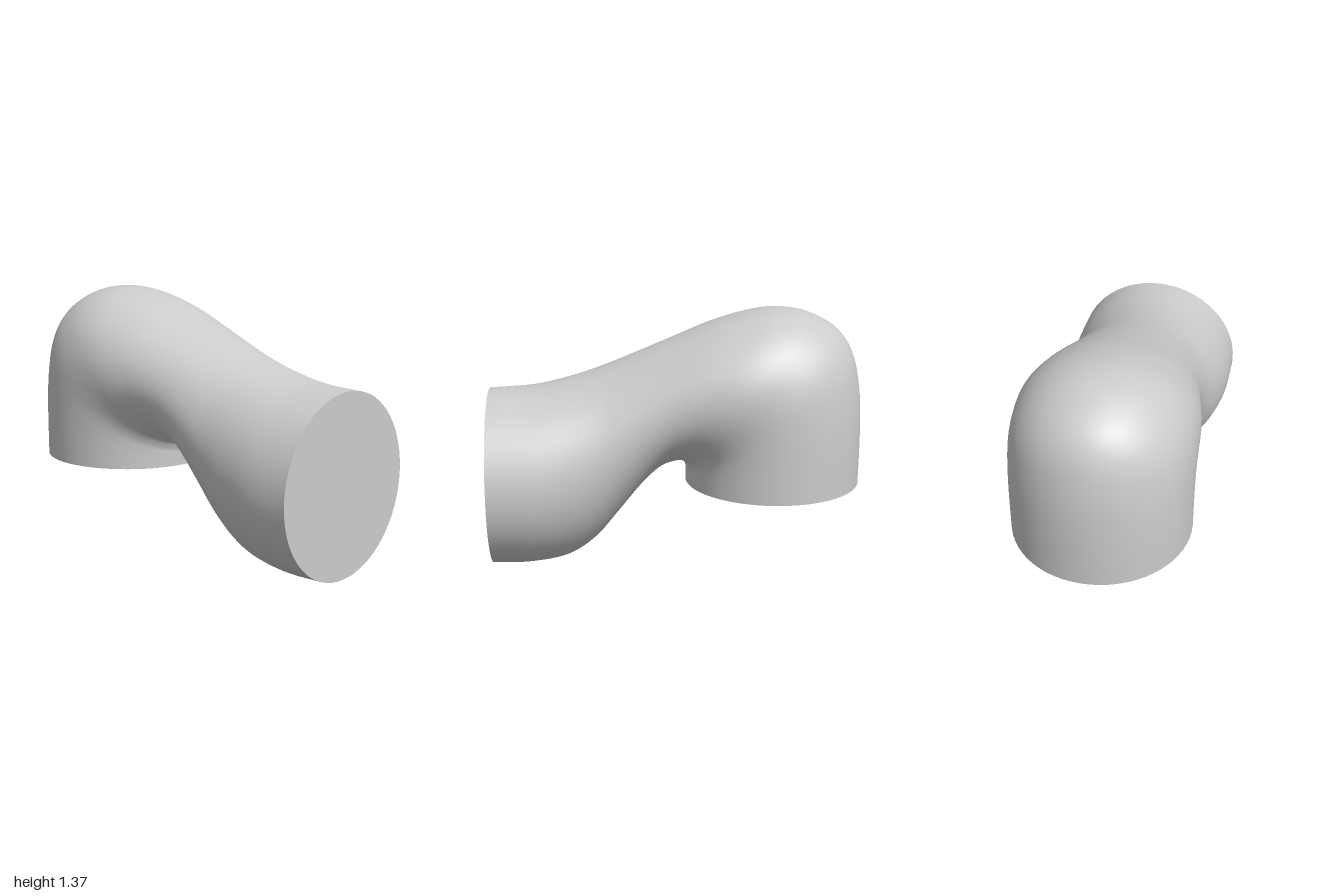
import * as THREE from 'three';

// Cross-sections along the bend: outer z, outer y, inner z, inner y, half width
const SECTIONS = [
  [1, 0.95, 1, 0.005, 0.472],
  [0.76, 0.965, 0.8, 0.003, 0.472],
  [0.56, 1.01, 0.6, 0.035, 0.445],
  [0.42, 1.055, 0.45, 0.13, 0.418],
  [0.3, 1.1, 0.33, 0.27, 0.403],
  [0.15, 1.16, 0.2, 0.43, 0.395],
  [0, 1.22, 0.1, 0.525, 0.402],
  [-0.2, 1.3, 0.02, 0.555, 0.425],
  [-0.4, 1.355, -0.01, 0.555, 0.448],
  [-0.55, 1.37, -0.03, 0.545, 0.462],
  [-0.7, 1.345, -0.04, 0.535, 0.469],
  [-0.85, 1.265, -0.045, 0.52, 0.472],
  [-0.94, 1.14, -0.05, 0.5, 0.472],
  [-0.985, 0.95, -0.05, 0.48, 0.472],
  [-1, 0.72, -0.05, 0.455, 0.472],
  [-1, 0.42, -0.05, 0.42, 0.472],
];
const RINGS = 90;
const SIDES = 64;

// Skin of elliptical rings spanning the outer and inner profile curves
function pipeGeometry() {
  const curve = (k) => new THREE.CatmullRomCurve3(
    SECTIONS.map((s) => new THREE.Vector3(s[4], s[k + 1], s[k])), false, 'catmullrom', 0.5);
  const outer = curve(0), inner = curve(2);
  const positions = [], indices = [];
  for (let i = 0; i <= RINGS; i++) {
    const o = outer.getPoint(i / RINGS), n = inner.getPoint(i / RINGS);
    for (let j = 0; j < SIDES; j++) {
      const a = (j / SIDES) * Math.PI * 2;
      const f = (1 + Math.cos(a)) / 2;
      positions.push(o.x * Math.sin(a), n.y + (o.y - n.y) * f, n.z + (o.z - n.z) * f);
      if (i === RINGS) continue;
      const p = i * SIDES + j, q = i * SIDES + ((j + 1) % SIDES);
      indices.push(p, q, p + SIDES, q, q + SIDES, p + SIDES);
    }
  }
  const geometry = new THREE.BufferGeometry();
  geometry.setAttribute('position', new THREE.Float32BufferAttribute(positions, 3));
  geometry.setIndex(indices);
  geometry.computeVertexNormals();
  return geometry;
}

export function createModel() {
  const group = new THREE.Group();
  group.name = 'pipeElbow';
  const material = new THREE.MeshStandardMaterial({ color: 0xcccccc, side: THREE.DoubleSide });

  // Bent pipe, open at its downward mouth
  const pipe = new THREE.Mesh(pipeGeometry(), material);
  pipe.name = 'bentPipe';
  group.add(pipe);

  // Flat disc closing the front end
  const cap = new THREE.Mesh(new THREE.CircleGeometry(0.4725, SIDES), material);
  cap.name = 'frontCap';
  cap.position.set(0, 0.4775, 1);
  group.add(cap);

  return group;
}
